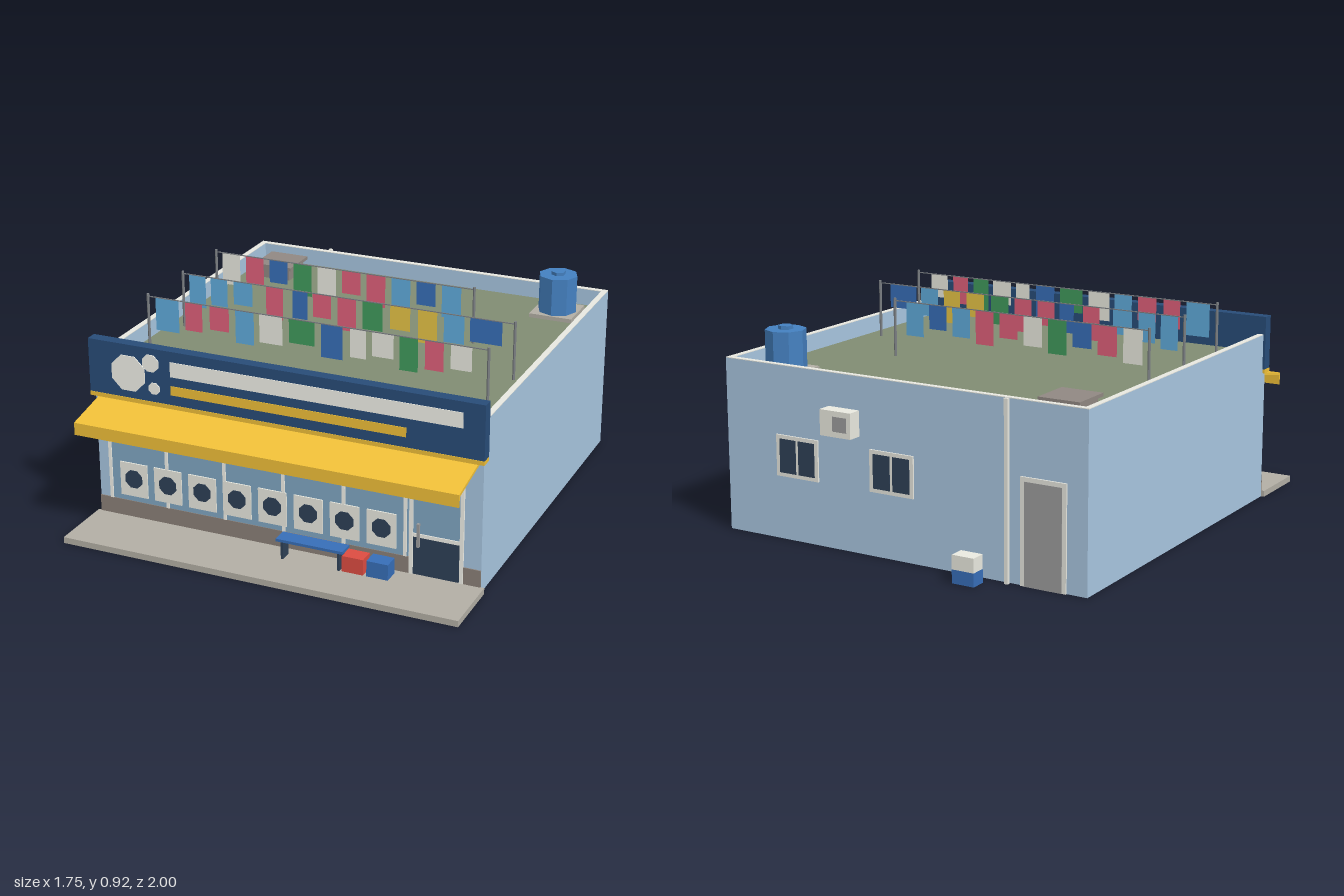
import * as THREE from 'three';

const C = {
  wall: 0xa8c6e0, rim: 0xe8e8e0, roof: 0x808c72, brown: 0x8a8078, slab: 0xb2aea4,
  navy: 0x284c78, yellow: 0xf0c038, white: 0xf2f2ea, glass: 0x80a6c2, dark: 0x2e4056,
  red: 0xdf607a, blue: 0x60acdc, royal: 0x376eb8, green: 0x409a5c, cream: 0xeaeae0,
  gold: 0xe6c446, tank: 0x4480c0, steel: 0x7c8084, crate: 0xdc4c42, hatch: 0x908882, grey: 0x9c9c9c
};
const mats = {};
function mat(key, double) {
  return mats[key + double] ??= new THREE.MeshStandardMaterial({
    color: C[key], flatShading: true, side: double ? THREE.DoubleSide : THREE.FrontSide
  });
}

export function createModel() {
  const root = new THREE.Group();

  function group(name) {
    const g = new THREE.Group();
    g.name = name;
    root.add(g);
    return g;
  }
  function add(parent, name, geo, key, x, y, z, double = false) {
    const m = new THREE.Mesh(geo, mat(key, double));
    m.name = name;
    m.position.set(x, y, z);
    parent.add(m);
  }
  // Box given by its limits on each axis
  function box(parent, name, key, x0, x1, y0, y1, z0, z1) {
    add(parent, name, new THREE.BoxGeometry(x1 - x0, y1 - y0, z1 - z0), key,
      (x0 + x1) / 2, (y0 + y1) / 2, (z0 + z1) / 2);
  }
  function tube(parent, name, key, r, h, x, y, z, sides = 6) {
    add(parent, name, new THREE.CylinderGeometry(r, r, h, sides), key, x, y + h / 2, z);
  }
  // Octagonal disc facing the front
  function octagon(parent, name, key, r, x, y, z) {
    const geo = new THREE.CylinderGeometry(r, r, 0.006, 8).rotateY(Math.PI / 8).rotateX(Math.PI / 2);
    add(parent, name, geo, key, x, y, z);
  }

  // Shell: thin walls open at the bottom, raised parapet and pale coping
  const roofY = 0.665, wallTop = 0.739, rimTop = 0.742;
  const shell = group('building');
  for (const s of [-1, 1]) {
    const wall = new THREE.PlaneGeometry(1.59, roofY).rotateY(s * Math.PI / 2);
    add(shell, 'sideWall', wall, 'wall', s * 0.86, roofY / 2, -0.085, true);
    const [a, b] = s < 0 ? [-0.86, -0.835] : [0.835, 0.86];
    box(shell, 'sideParapet', 'wall', a, b, roofY, wallTop, -0.88, 0.71);
    box(shell, 'sideCoping', 'rim', a, b, wallTop, rimTop, -0.88, 0.69);
  }
  add(shell, 'backWall', new THREE.PlaneGeometry(1.72, roofY).rotateY(Math.PI), 'wall', 0, roofY / 2, -0.88, true);
  box(shell, 'backParapet', 'wall', -0.835, 0.835, roofY, wallTop, -0.88, -0.855);
  box(shell, 'backCoping', 'rim', -0.835, 0.835, wallTop, rimTop, -0.88, -0.855);
  add(shell, 'frontWall', new THREE.PlaneGeometry(1.72, 0.59), 'wall', 0, 0.295, 0.71, true);
  box(shell, 'roofDeck', 'roof', -0.858, 0.858, roofY - 0.006, roofY, -0.878, 0.69);
  box(shell, 'pavement', 'slab', -0.875, 0.875, 0, 0.027, 0.711, 1);

  // Sign board with bubbles and plain bars
  const sign = group('signBoard');
  box(sign, 'board', 'navy', -0.87, 0.87, 0.586, 0.82, 0.685, 0.735);
  box(sign, 'lowerTrim', 'yellow', -0.87, 0.87, 0.568, 0.586, 0.711, 0.737);
  for (const s of [-1, 1])
    box(sign, 'trimReturn', 'yellow', s * 0.8655 - 0.0045, s * 0.8655 + 0.0045, 0.568, 0.586, 0.687, 0.711);
  for (const [x, y, r] of [[-0.685, 0.695, 0.083], [-0.58, 0.755, 0.04], [-0.566, 0.646, 0.027]])
    octagon(sign, 'bubble', 'white', r, x, y, 0.736);
  box(sign, 'upperBar', 'white', -0.49, 0.78, 0.71, 0.775, 0.734, 0.738);
  box(sign, 'lowerBar', 'yellow', -0.49, 0.545, 0.63, 0.67, 0.734, 0.738);

  // Sloping awning with valance, extruded along x
  const awning = group('awning');
  const profile = new THREE.Shape([[0.711, 0.553], [0.918, 0.511], [0.918, 0.468], [0.925, 0.468],
    [0.925, 0.522], [0.711, 0.565]].map(p => new THREE.Vector2(...p)));
  const canopy = new THREE.ExtrudeGeometry(profile, { depth: 1.68, bevelEnabled: false });
  add(awning, 'canopy', canopy.rotateY(-Math.PI / 2), 'yellow', 0.84, 0, 0);

  // Shop front: window, mullions, coloured strips and washing machines
  const shop = group('shopFront');
  box(shop, 'window', 'glass', -0.8, 0.55, 0.1, 0.568, 0.7105, 0.713);
  box(shop, 'plinth', 'brown', -0.86, 0.555, 0.027, 0.1, 0.7105, 0.716);
  box(shop, 'plinthEnd', 'brown', 0.785, 0.86, 0.027, 0.1, 0.7105, 0.716);
  for (let i = 0; i < 6; i++) {
    const x = -0.803 + i * 0.268;
    box(shop, 'mullion', 'white', x - 0.007, x + 0.007, 0.1, 0.568, 0.711, 0.718);
    box(shop, 'windowStrip', ['red', 'blue', 'gold'][i % 3],
      x + 0.012, x + (i < 5 ? 0.256 : 0.034), 0.403, 0.43, 0.711, 0.715);
  }
  for (let i = 0; i < 8; i++) {
    const x = -0.692 + i * 0.161;
    box(shop, 'washer', 'cream', x - 0.064, x + 0.064, 0.125, 0.277, 0.711, 0.719);
    octagon(shop, 'washerDoor', 'dark', 0.043, x, 0.205, 0.718);
  }

  // Entrance door
  const door = group('frontDoor');
  box(door, 'doorGlass', 'glass', 0.565, 0.775, 0.2, 0.568, 0.7105, 0.714);
  box(door, 'doorPanel', 'dark', 0.565, 0.775, 0.027, 0.2, 0.7105, 0.714);
  for (const x of [0.563, 0.778])
    box(door, 'doorJamb', 'white', x - 0.008, x + 0.008, 0.027, 0.568, 0.711, 0.719);
  box(door, 'doorRail', 'white', 0.571, 0.77, 0.195, 0.211, 0.711, 0.718);
  box(door, 'doorHandle', 'grey', 0.594, 0.605, 0.16, 0.263, 0.725, 0.738);

  // Bench and laundry crates on the pavement
  const bench = group('bench');
  box(bench, 'seat', 'royal', 0.015, 0.31, 0.107, 0.119, 0.75, 0.82);
  for (const x of [0.038, 0.288]) box(bench, 'benchLeg', 'dark', x - 0.005, x + 0.005, 0.027, 0.107, 0.758, 0.812);
  const crates = group('crates');
  box(crates, 'redCrate', 'crate', 0.303, 0.395, 0.027, 0.096, 0.74, 0.81);
  box(crates, 'blueCrate', 'royal', 0.41, 0.503, 0.027, 0.096, 0.74, 0.81);

  // Washing lines on the roof: z, end post x, cloths [colour, x0, x1]
  const backRow = 'cream red royal green cream red red blue royal blue'.split(' ')
    .map((key, i) => [key, -0.735 + i * 0.117, -0.647 + i * 0.117]);
  const lines = [
    [0.41, 0.76, [['blue', -0.73, -0.62], ['red', -0.59, -0.51], ['red', -0.475, -0.385],
      ['blue', -0.355, -0.27], ['cream', -0.245, -0.14], ['green', -0.11, 0.005],
      ['royal', 0.035, 0.13], ['cream', 0.163, 0.235], ['cream', 0.26, 0.355],
      ['green', 0.38, 0.46], ['red', 0.49, 0.57], ['cream', 0.6, 0.69]]],
    [0.1, 0.76, [['blue', -0.735, -0.655], ['blue', -0.63, -0.55], ['blue', -0.52, -0.43],
      ['red', -0.365, -0.285], ['royal', -0.24, -0.17], ['red', -0.145, -0.06],
      ['red', -0.03, 0.055], ['green', 0.085, 0.175], ['gold', 0.21, 0.3],
      ['gold', 0.335, 0.42], ['blue', 0.45, 0.54], ['royal', 0.565, 0.705]]],
    [-0.215, 0.465, backRow]
  ];
  for (const [z, end, cloths] of lines) {
    const line = group('washingLine');
    for (const x of [-0.765, end]) tube(line, 'linePost', 'steel', 0.006, 0.92 - roofY, x, roofY, z);
    box(line, 'lineWire', 'steel', -0.765, end, 0.907, 0.911, z - 0.002, z + 0.002);
    cloths.forEach(([key, x0, x1], i) => {
      const h = 0.105 + 0.02 * ((i * 5 + 2) % 3);
      add(line, 'cloth', new THREE.PlaneGeometry(x1 - x0, h), key, (x0 + x1) / 2, 0.908 - h / 2, z, true);
    });
  }

  // Roof hatch
  const hatch = group('roofHatch');
  box(hatch, 'hatchCurb', 'hatch', -0.75, -0.595, roofY, 0.718, -0.765, -0.61);
  box(hatch, 'hatchLid', 'hatch', -0.765, -0.58, 0.718, 0.733, -0.78, -0.595);

  // Water tank on its pad
  const tank = group('waterTank');
  box(tank, 'tankPad', 'slab', 0.582, 0.776, roofY, 0.683, -0.803, -0.609);
  tube(tank, 'tankBody', 'tank', 0.087, 0.167, 0.68, 0.683, -0.705, 8);
  tube(tank, 'tankCap', 'tank', 0.032, 0.015, 0.68, 0.85, -0.705, 6);

  // Rear: door, windows, drainpipe and service units
  const rear = group('rearFittings');
  box(rear, 'rearDoorFrame', 'rim', -0.77, -0.567, 0, 0.44, -0.888, -0.8805);
  box(rear, 'rearDoor', 'grey', -0.752, -0.585, 0, 0.422, -0.89, -0.881);
  for (const x of [0.032, 0.498]) {
    box(rear, 'windowFrame', 'rim', x - 0.105, x + 0.105, 0.272, 0.448, -0.888, -0.8805);
    for (const s of [-1, 1])
      box(rear, 'windowPane', 'dark', x + s * 0.047 - 0.041, x + s * 0.047 + 0.041, 0.288, 0.432, -0.889, -0.881);
  }
  box(rear, 'drainpipe', 'rim', -0.519, -0.503, 0, rimTop, -0.903, -0.887);
  box(rear, 'airConditioner', 'cream', 0.188, 0.337, 0.492, 0.6, -0.943, -0.8805);
  box(rear, 'fanGrille', 'grey', 0.207, 0.275, 0.515, 0.577, -0.944, -0.94);
  box(rear, 'utilityBoxBase', 'royal', -0.425, -0.325, 0, 0.057, -1, -0.933);
  box(rear, 'utilityBoxTop', 'cream', -0.425, -0.325, 0.057, 0.117, -1, -0.933);

  return root;
}
